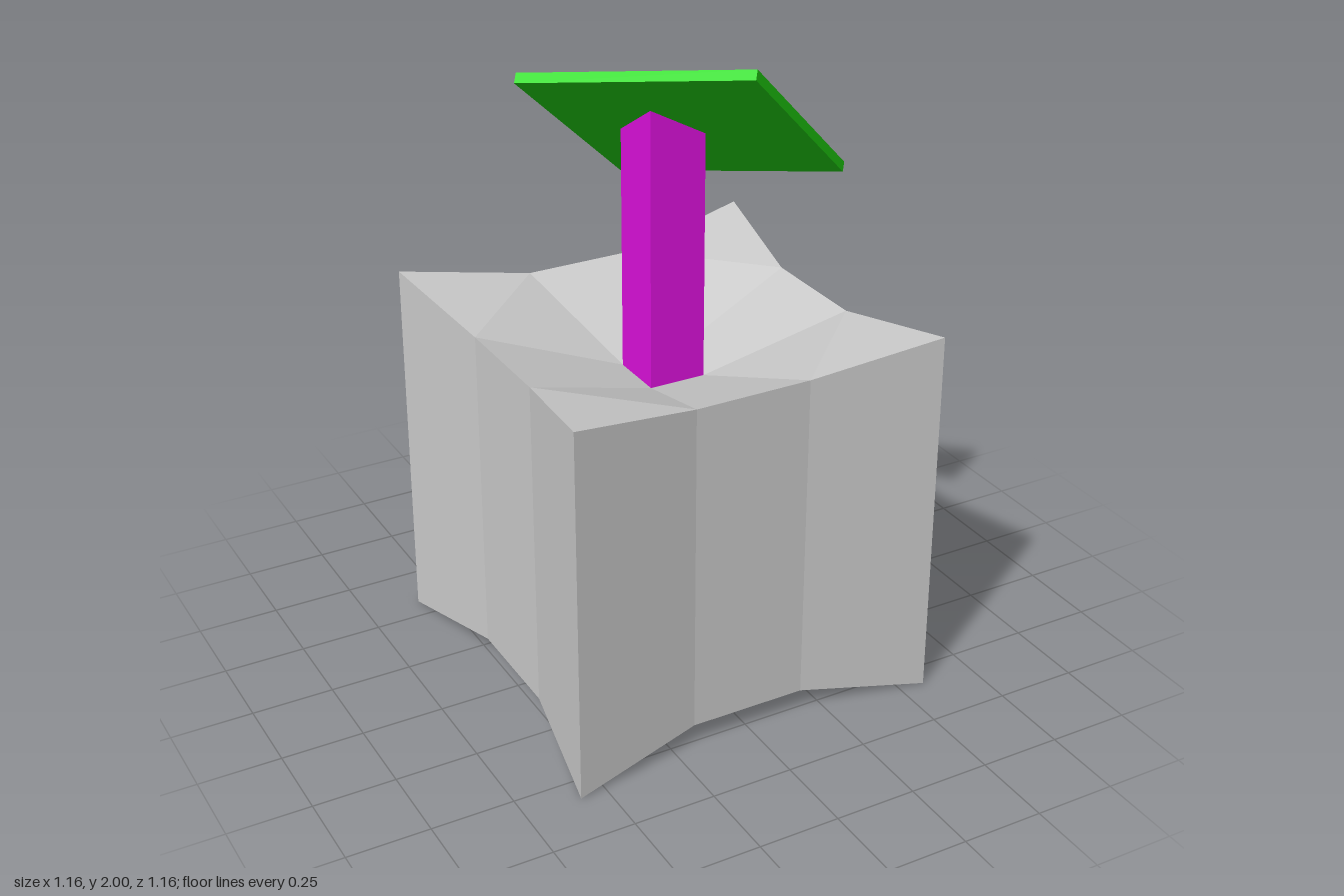
import * as THREE from 'three';

const mat = (color) => new THREE.MeshStandardMaterial({ color, flatShading: true });

// Block with pinched sides and dished top and bottom, made of four equal quarters
function baseGeometry() {
  const pos = [];
  // corner, two rim points and inner points of one quarter
  const level = (yCorner, yRim, yInner, a) => ({
    P: [0.58, yCorner, 0.58],
    E1: [0.18, yRim, 0.515],
    E2: [0.515, yRim, 0.18],
    F: [-0.18, yRim, 0.515],
    I: [a, yInner, a],
    J: [-a, yInner, a],
    O: [0, yInner, 0],
  });
  const t = level(1.16, 1.095, 0.946, 0.087);
  const b = level(0, 0.068, 0.21, 0.176);

  for (let k = 0; k < 4; k++) {
    const c = Math.round(Math.cos(k * Math.PI / 2));
    const s = Math.round(Math.sin(k * Math.PI / 2));
    const tri = (...pts) => pts.forEach(([x, y, z]) => pos.push(x * c + z * s, y, z * c - x * s));
    const quad = (p, q, r, u) => { tri(p, q, r); tri(p, r, u); };
    // dished end: corner, slope, edge cell, centre
    const cap = (l, flip) => {
      const cells = [[l.E1, l.P, l.E2], [l.E1, l.E2, l.I], [l.F, l.E1, l.I], [l.F, l.I, l.J], [l.J, l.I, l.O]];
      cells.forEach((f) => tri(...(flip ? f.reverse() : f)));
    };
    cap(t, false);
    cap(b, true);
    // upright walls
    quad(b.F, b.E1, t.E1, t.F);
    quad(b.E1, b.P, t.P, t.E1);
    quad(b.P, b.E2, t.E2, t.P);
  }
  const g = new THREE.BufferGeometry();
  g.setAttribute('position', new THREE.Float32BufferAttribute(pos, 3));
  g.computeVertexNormals();
  return g;
}

export function createModel() {
  const group = new THREE.Group();
  const add = (name, geometry, color) => {
    const mesh = new THREE.Mesh(geometry, mat(color));
    mesh.name = name;
    group.add(mesh);
    return mesh;
  };

  add('base', baseGeometry(), 0xcccccc);

  // Tilted square panel
  const centre = new THREE.Vector3(0.036, 1.72, 0.054);
  const along = new THREE.Vector3(0.425, 0.1, 0.545).normalize();
  const normal = new THREE.Vector3(0.424, 0.773, -0.472);
  normal.addScaledVector(along, -normal.dot(along)).normalize();
  const across = new THREE.Vector3().crossVectors(along, normal);
  const panel = add('panel', new THREE.BoxGeometry(0.7, 0.03, 0.7), 0x22dd11);
  panel.quaternion.setFromRotationMatrix(new THREE.Matrix4().makeBasis(along, normal, across));
  panel.position.copy(centre);

  // Square post, its top cut to the slope of the panel
  const post = new THREE.BoxGeometry(0.174, 1, 0.174);
  const p = post.attributes.position;
  for (let i = 0; i < p.count; i++) {
    const x = p.getX(i), z = p.getZ(i);
    const slope = centre.y - (normal.x * (x - centre.x) + normal.z * (z - centre.z)) / normal.y;
    p.setY(i, p.getY(i) > 0 ? slope : 0.946);
  }
  post.computeVertexNormals();
  add('post', post, 0xdd11dd);

  return group;
}
